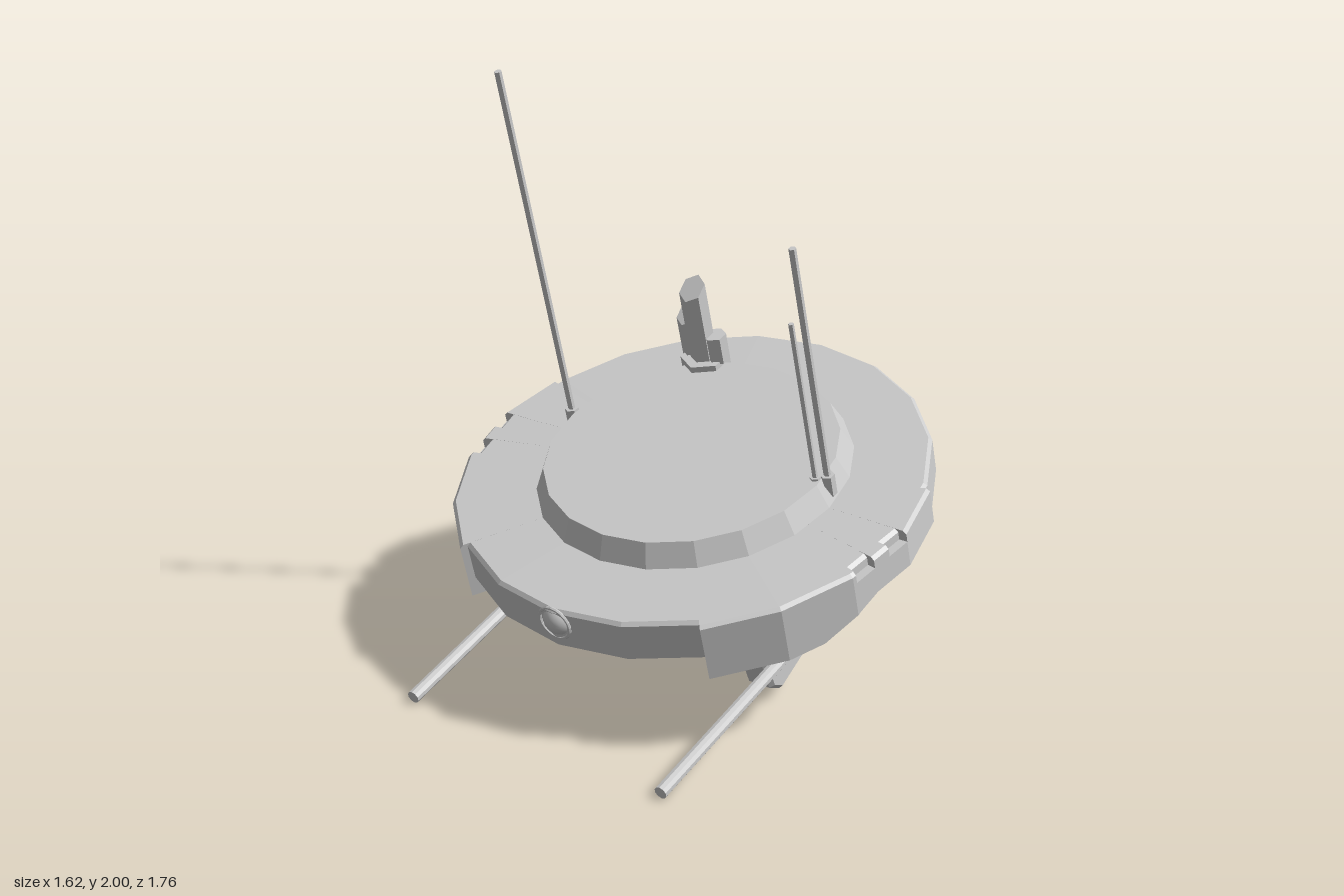
import * as THREE from 'three';

const mat = new THREE.MeshStandardMaterial({ color: 0xcccccc, flatShading: true });
const RAD = Math.PI / 180;
const SIDES = 20;

function add(parent, name, geometry, x = 0, y = 0, z = 0) {
  const mesh = new THREE.Mesh(geometry, mat);
  mesh.name = name;
  mesh.position.set(x, y, z);
  parent.add(mesh);
  return mesh;
}

// Upright rod of even radius from height y0 to y1
function rod(parent, name, r, sides, x, z, y0, y1) {
  return add(parent, name, new THREE.CylinderGeometry(r, r, y1 - y0, sides), x, (y0 + y1) / 2, z);
}

// Radial cross-section of the hull: rim radius, depth, edge notch, rear groove
function hullSection(R, d, notch = 0, groove = 0) {
  return [
    [0.5, 0], [R - notch - 0.012, -0.005], [R - notch, -0.016], [R - notch, -0.045], [R, -0.045],
    [R, -0.05], [R - groove, -0.05], [R - groove, -0.09], [R, -0.09],
    [R, -d], [0.68, -d], [0.6, -0.055], [0, -0.055],
  ];
}

// Depth of the side wings: full at the front, ramping up towards the back
function wingDepth(a) {
  return 0.213 - 0.075 * THREE.MathUtils.clamp((a - 63) / 14, 0, 1);
}

// Sweep the cross-sections around a 20-sided ring, stepping at each zone change
function hullGeometry() {
  const half = [];
  const station = (deg, ...s) => half.push({ deg, pts: hullSection(...s) });
  for (const a of [0, 18, 36]) station(a, 0.79, 0.145);
  for (const a of [36, 54, 63, 72]) station(a, 0.815, wingDepth(a));
  for (const [a, b] of [[73, 79], [84, 90]]) {
    station(a, 0.815, wingDepth(a));
    station(a, 0.815, wingDepth(a), 0.03);
    station(b, 0.815, wingDepth(b), 0.03);
    station(b, 0.815, wingDepth(b));
  }
  station(106, 0.805, wingDepth(106));
  for (const a of [106, 108, 126]) station(a, 0.785, 0.138);
  for (const a of [126, 144, 162, 180]) station(a, 0.785, 0.138, 0, 0.04);
  const mirrored = half.map((s) => ({ deg: -s.deg, pts: s.pts })).reverse();

  const rings = [...mirrored, ...half].map(({ deg, pts }) => {
    const step = 360 / SIDES;
    const local = (((deg % step) + step) % step) - step / 2;
    const k = Math.cos((step / 2) * RAD) / Math.cos(local * RAD);
    return pts.map(([r, y]) => new THREE.Vector3(
      r * k * Math.sin(deg * RAD), y, r * k * Math.cos(deg * RAD)));
  });
  const out = [];
  const tri = (a, b, c) => {
    if (new THREE.Triangle(a, b, c).getArea() > 1e-7) for (const p of [a, b, c]) out.push(p.x, p.y, p.z);
  };
  for (let j = 0; j < rings.length - 1; j++) {
    const A = rings[j], B = rings[j + 1];
    for (let i = 0; i < A.length - 1; i++) {
      tri(A[i], A[i + 1], B[i + 1]);
      tri(A[i], B[i + 1], B[i]);
    }
  }
  const g = new THREE.BufferGeometry();
  g.setAttribute('position', new THREE.Float32BufferAttribute(out, 3));
  g.computeVertexNormals();
  return g;
}

// Plate seen from the side: outline in (z, y), extruded along x
function sidePlate(outline, width, bevel) {
  const shape = new THREE.Shape(outline.map(([z, y]) => new THREE.Vector2(-z, y)));
  const g = new THREE.ExtrudeGeometry(shape, {
    depth: width - 2 * bevel, bevelEnabled: bevel > 0, bevelSegments: 1,
    bevelThickness: bevel, bevelSize: bevel, bevelOffset: -bevel,
  });
  g.translate(0, 0, bevel - width / 2);
  g.rotateY(Math.PI / 2);
  return g;
}

const POD = [[0.366, -0.335], [0.335, -0.53], [0.287, -0.57], [-0.242, -0.432],
  [-0.29, -0.393], [-0.307, -0.195], [-0.244, -0.157], [0.33, -0.308]];
const ARM = [[-0.36, -0.05], [-0.26, -0.16], [-0.3, -0.25], [-0.38, -0.22], [-0.43, -0.15], [-0.46, -0.05]];

export function createModel() {
  const model = new THREE.Group();
  model.name = 'hoverDisc';

  // Everything is built level, then banked as one
  const craft = new THREE.Group();
  craft.name = 'tiltedCraft';
  craft.position.set(0, 0.662, -0.09);
  craft.rotation.set(15.2 * RAD, 13.5 * RAD, 0, 'YXZ');
  model.add(craft);

  add(craft, 'hull', hullGeometry());
  add(craft, 'raisedDeck', new THREE.CylinderGeometry(0.493, 0.53, 0.08, SIDES, 1), 0, 0.038, 0);

  // Front eye sunk into a socket ring
  const smooth = mat.clone();
  smooth.flatShading = false;
  add(craft, 'frontEye', new THREE.SphereGeometry(0.055, 20, 14), 0, -0.06, 0.755).material = smooth;
  add(craft, 'eyeSocket', new THREE.TorusGeometry(0.058, 0.006, 6, 20), 0, -0.06, 0.785);

  // Gun pods with side-mounted barrels
  for (const s of [1, -1]) {
    const gun = new THREE.Group();
    gun.name = s > 0 ? 'leftGun' : 'rightGun';
    craft.add(gun);
    add(gun, 'pod', sidePlate(POD, 0.108, 0.014), 0.395 * s, 0, 0);
    const barrel = add(gun, 'barrel', new THREE.CylinderGeometry(0.022, 0.022, 0.95, 10), 0.5 * s, -0.39, 0.525);
    barrel.rotation.x = Math.PI / 2;
    const elbow = add(gun, 'barrelMount', new THREE.CylinderGeometry(0.022, 0.022, 0.1, 8), 0.46 * s, -0.39, 0.07);
    elbow.rotation.z = Math.PI / 2;
    add(gun, 'barrelBreech', new THREE.BoxGeometry(0.045, 0.048, 0.06), 0.5 * s, -0.39, 0.06);
    // Thin arm holding the pod under the hull
    add(gun, 'podArm', sidePlate(ARM, 0.035, 0), 0.395 * s, 0, 0);
  }

  // Antennas: x, z, top height, radius
  const antennas = [[-0.513, -0.02, 1.38, 0.012], [0.499, -0.055, 0.94, 0.012], [0.469, -0.03, 0.674, 0.009]];
  for (const [x, z, top, r] of antennas) {
    rod(craft, 'antenna', r, 6, x, z, 0.03, top);
    rod(craft, 'antennaBase', r * 2, 6, x, z, 0.01, 0.085);
  }

  // Sensor cluster on the back of the deck
  const sensor = new THREE.Group();
  sensor.name = 'sensorCluster';
  sensor.position.set(-0.25, 0, -0.445);
  craft.add(sensor);
  rod(sensor, 'sensorBase', 0.085, 6, 0, 0, 0.01, 0.1);
  rod(sensor, 'leftSensor', 0.04, 6, 0.05, -0.01, 0.09, 0.19);
  const slanted = [
    rod(sensor, 'rightSensor', 0.038, 6, -0.055, -0.01, 0.09, 0.248),
    rod(sensor, 'sensorMast', 0.046, 6, 0, 0.005, 0.09, 0.375),
  ];
  // Slant the tops so they rise toward the back
  for (const { geometry } of slanted) {
    const p = geometry.attributes.position;
    for (let i = 0; i < p.count; i++) if (p.getY(i) > 0) p.setY(i, p.getY(i) - p.getZ(i) * 0.6);
    geometry.computeVertexNormals();
  }

  return model;
}
